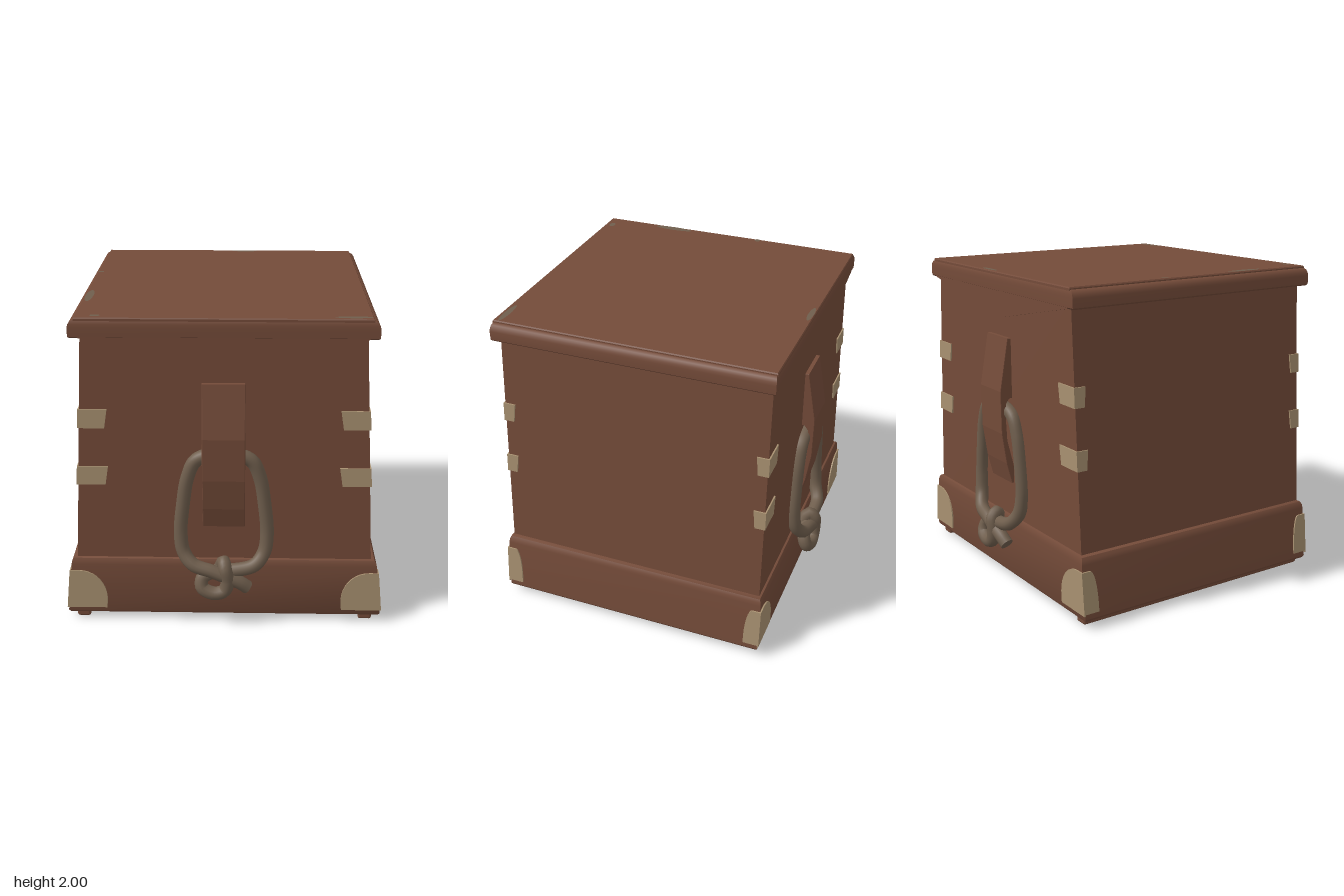
import * as THREE from 'three';
import { toCreasedNormals } from 'three/addons/utils/BufferGeometryUtils.js';
import { RoundedBoxGeometry } from 'three/addons/geometries/RoundedBoxGeometry.js';

const material = (name, color) => {
  const m = new THREE.MeshStandardMaterial({ color });
  m.name = name;
  return m;
};

// Closed solid through rectangular rings given as [halfX, halfZ, y]
function loft(rings) {
  const pos = [];
  const corners = rings.map(([x, z, y]) => [[x, y, z], [x, y, -z], [-x, y, -z], [-x, y, z]]);
  const quad = (a, b, c, d) => pos.push(...a, ...b, ...c, ...a, ...c, ...d);
  for (let r = 0; r < corners.length - 1; r++) {
    for (let i = 0; i < 4; i++) {
      const j = (i + 1) % 4;
      quad(corners[r][i], corners[r][j], corners[r + 1][j], corners[r + 1][i]);
    }
  }
  quad(...[...corners[0]].reverse());
  quad(...corners[corners.length - 1]);
  const g = new THREE.BufferGeometry();
  g.setAttribute('position', new THREE.Float32BufferAttribute(pos, 3));
  return toCreasedNormals(g, 0.6);
}

// Reposition every vertex by a rule; swap corners when the rule mirrors
function remap(geometry, rule, flip) {
  const g = geometry.index ? geometry.toNonIndexed() : geometry;
  const p = g.attributes.position;
  const pts = [];
  for (let i = 0; i < p.count; i++) pts.push(rule(p.getX(i), p.getY(i), p.getZ(i)));
  for (let i = 0; i < p.count; i += 3) {
    p.setXYZ(i, ...pts[i]);
    p.setXYZ(i + 1, ...pts[i + (flip ? 2 : 1)]);
    p.setXYZ(i + 2, ...pts[i + (flip ? 1 : 2)]);
  }
  g.computeVertexNormals();
  return g;
}

const polygon = (pts) => new THREE.Shape(pts.map(([x, y]) => new THREE.Vector2(x, y)));
const PLATE = 0.009;
const bodyX = (y) => 0.945 - 0.0586 * y;
const baseX = (y) => 0.998 - 0.1 * y;

// Quarter-round outline whose square corner is at the chest's edge
function quarterShape(width, y0, y1) {
  const pts = [[PLATE, y0], [PLATE, y1]];
  for (let i = 0; i <= 10; i++) {
    const a = (i / 10) * Math.PI / 2;
    pts.push([-0.05 - (width - 0.05) * Math.sin(a), y0 + 0.04 + (y1 - y0 - 0.04) * Math.cos(a)]);
  }
  pts.push([-width, y0]);
  return polygon(pts);
}
const bandShape = (width, y0, y1) =>
  polygon([[PLATE, y0], [PLATE, y1], [-width, y1], [-width + 0.012, y0]]);

export function createModel() {
  const group = new THREE.Group();
  group.name = 'chest';
  const leather = material('brown leather', 0x744b39);
  const metal = material('tan metal', 0xa89171);
  const ropeMat = material('grey rope', 0x6f5e4d);
  const add = (name, geometry, mat, parent = group) => {
    const mesh = new THREE.Mesh(geometry, mat);
    mesh.name = name;
    parent.add(mesh);
    return mesh;
  };

  // Tapered body
  add('body', loft([[bodyX(0.3), 0.856, 0.3], [bodyX(1.92), 0.856, 1.92]]), leather);

  // Plinth with rounded top edge and recessed underside
  add('base', loft([
    [0.85, 0.8, 0.11], [0.85, 0.8, 0.05], [0.982, 0.87, 0.045], [0.992, 0.878, 0.06],
    [baseX(0.39), 0.878, 0.39], [0.953, 0.875, 0.415], [0.942, 0.868, 0.432], [0.92, 0.856, 0.438],
  ]), leather);

  // Lid with rounded edge and thin top panel
  add('lid', loft([
    [0.892, 0.878, 1.877], [0.901, 0.887, 1.886], [0.901, 0.888, 1.94], [0.896, 0.887, 1.96],
    [0.885, 0.884, 1.977], [0.868, 0.879, 1.986],
  ]), leather);
  add('lidPanel', loft([[0.864, 0.884, 1.98], [0.864, 0.884, 1.993], [0.859, 0.879, 2.0]]), leather);

  // Runners under the base
  for (const s of [-1, 1]) {
    const runner = add('runner', new RoundedBoxGeometry(0.085, 0.075, 1.71, 3, 0.015), leather);
    runner.position.set(s * 0.9, 0.0375, 0);
  }

  // Front and back share the same details
  for (const side of [0, 1]) {
    const face = new THREE.Group();
    face.name = side ? 'backDetails' : 'frontDetails';
    face.rotation.y = side * Math.PI;
    group.add(face);

    // Pointed lid flap
    const flap = new THREE.ExtrudeGeometry(
      polygon([[-0.85, 1.89], [-0.84, 1.878], [-0.05, 1.72], [0, 1.713], [0.05, 1.72], [0.84, 1.878], [0.85, 1.89]]),
      { depth: 0.036, bevelEnabled: false });
    add('lidFlap', flap.translate(0, 0, 0.85), leather, face);

    // Bowed strap with an arch for the rope, drawn in side profile
    const strap = new THREE.ExtrudeGeometry(polygon([
      [0.85, 0.665], [0.87, 0.665], [0.905, 0.8], [0.935, 1.0], [0.938, 1.27], [0.88, 1.6], [0.85, 1.6],
      [0.85, 1.22], [0.875, 1.22], [0.897, 1.19], [0.902, 1.1], [0.895, 0.95], [0.858, 0.8], [0.85, 0.8],
    ]), { depth: 0.25, bevelEnabled: true, bevelThickness: 0.005, bevelSize: 0.004, bevelOffset: -0.004, bevelSegments: 2 });
    add('strap', strap.translate(0, 0, -0.125).rotateY(-Math.PI / 2), leather, face);

    // Rope loop: tail, left half, right half, then the overhand knot
    const loopPts = [[0.19, 0.425, 0.925], [0.25, 0.5, 0.893], [0.267, 0.62, 0.877], [0.25, 0.82, 0.873],
      [0.22, 1.0, 0.873], [0.17, 1.11, 0.874], [0.08, 1.15, 0.876]];
    const ropePts = [
      [0.15, 0.27, 0.93], [0.1, 0.31, 0.94], [0.03, 0.345, 0.945], [-0.07, 0.385, 0.94],
      ...loopPts.map(([x, y, z]) => [-x, y, z]), ...[...loopPts].reverse(),
      [0.07, 0.39, 0.925], [-0.05, 0.375, 0.915], [-0.13, 0.335, 0.925], [-0.135, 0.275, 0.945],
      [-0.06, 0.24, 0.957], [0.005, 0.26, 0.957], [0.025, 0.33, 0.957], [0.01, 0.41, 0.955],
      [0, 0.443, 0.92], [-0.02, 0.39, 0.885],
    ].map((p) => new THREE.Vector3(...p));
    const curve = new THREE.CatmullRomCurve3(ropePts);
    add('rope', new THREE.TubeGeometry(curve, 180, 0.043, 12), ropeMat, face);
    const cap = add('ropeEnd', new THREE.CircleGeometry(0.043, 12), ropeMat, face);
    cap.position.copy(ropePts[0]);
    cap.quaternion.setFromUnitVectors(new THREE.Vector3(0, 0, 1), curve.getTangent(0).negate());

    // Metal plates wrapping the vertical edges
    const extrude = (shape) => new THREE.ExtrudeGeometry(shape, { depth: PLATE, bevelEnabled: false });
    for (const s of [1, -1]) {
      const wrap = (name, frontShape, sideShape, hx, hz) => {
        add(name + 'Front', remap(extrude(frontShape),
          (u, y, w) => [s * (hx(y) + u), y, hz + w], s < 0), metal, face);
        add(name + 'Side', remap(extrude(sideShape),
          (u, y, w) => [s * (hx(y) + w), y, hz + u], s > 0), metal, face);
      };
      wrap('cornerPlate', quarterShape(0.245, 0.085, 0.35), quarterShape(0.095, 0.095, 0.35), baseX, 0.878);
      wrap('lowerBand', bandShape(0.18, 0.94, 1.06), bandShape(0.07, 0.94, 1.06), bodyX, 0.856);
      wrap('upperBand', bandShape(0.165, 1.31, 1.43), bandShape(0.07, 1.31, 1.43), bodyX, 0.856);
    }
  }

  // Small worn patches on the lid: x, z, half sizes
  for (const [x, z, rx, rz] of [[-0.835, 0.4, 0.025, 0.13], [0.75, 0.845, 0.11, 0.02],
    [0.11, -0.86, 0.09, 0.018], [-0.745, 0.835, 0.03, 0.02], [-0.845, -0.215, 0.02, 0.02]]) {
    const patch = add('wornPatch', new THREE.CircleGeometry(1, 14), ropeMat);
    patch.rotation.x = -Math.PI / 2;
    patch.scale.set(rx, rz, 1);
    patch.position.set(x, 2.001, z);
  }
  return group;
}
